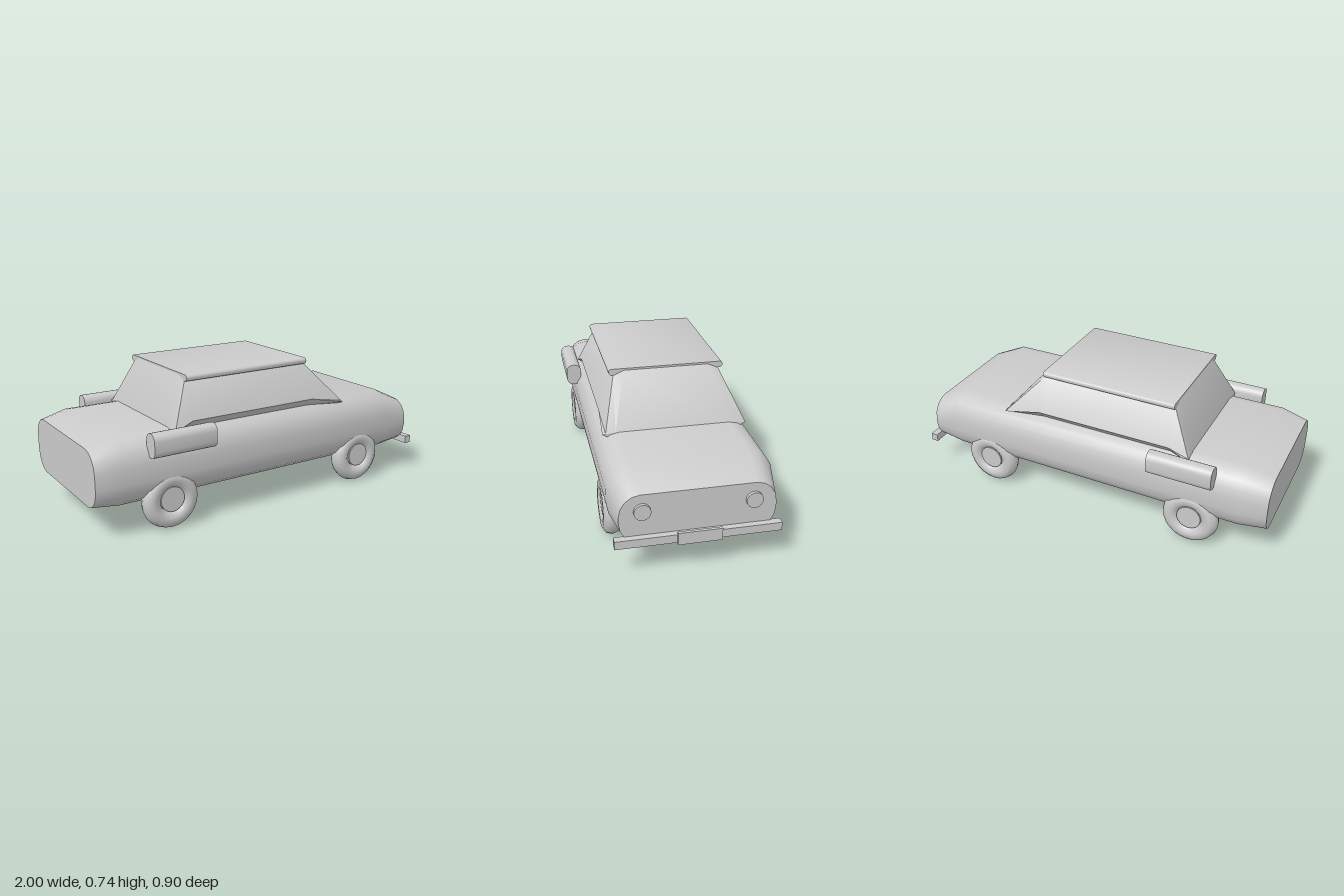
import * as THREE from 'three';
import { toCreasedNormals } from 'three/addons/utils/BufferGeometryUtils.js';

const material = new THREE.MeshStandardMaterial({ color: 0xcccccc });

// Rounded rectangle as [z, y] points, running top -> +z -> bottom -> -z
function roundedRing(w, y0, y1, rz, ry, steps = 4) {
  const points = [];
  const corners = [[1, y1 - ry, 0], [1, y0 + ry, 1], [-1, y0 + ry, 2], [-1, y1 - ry, 3]];
  for (const [side, cy, quarter] of corners) {
    for (let i = 0; i <= steps; i++) {
      const a = (quarter + i / steps) * Math.PI / 2;
      points.push([side * (w - rz) + Math.sin(a) * rz, cy + Math.cos(a) * ry]);
    }
  }
  return points;
}

// Mirrors the +z half of a cross-section, listed from top to bottom
function mirrorRing(half) {
  return [...half, ...half.map(([z, y]) => [-z, y]).reverse()];
}

// Skins [x, ring] cross-sections along x and closes both ends
function loft(sections, crease = 0.7) {
  const n = sections[0][1].length;
  const positions = [], index = [];
  for (const [x, ring] of sections) for (const [z, y] of ring) positions.push(x, y, z);
  for (let s = 0; s < sections.length - 1; s++) {
    for (let j = 0; j < n; j++) {
      const a = s * n + j, b = s * n + (j + 1) % n;
      index.push(a, b, a + n, b, b + n, a + n);
    }
  }
  for (const end of [0, sections.length - 1]) {
    const [x, ring] = sections[end];
    const base = positions.length / 3;
    const cy = ring.reduce((sum, p) => sum + p[1], 0) / n;
    for (const [z, y] of ring) positions.push(x, y, z);
    positions.push(x, cy, 0);
    for (let j = 0; j < n; j++) {
      const a = base + j, b = base + (j + 1) % n;
      if (end) index.push(base + n, a, b);
      else index.push(base + n, b, a);
    }
  }
  const geometry = new THREE.BufferGeometry();
  geometry.setAttribute('position', new THREE.Float32BufferAttribute(positions, 3));
  geometry.setIndex(index);
  return toCreasedNormals(geometry, crease);
}

export function createModel() {
  const car = new THREE.Group();
  car.name = 'car';
  const add = (name, geometry, x = 0, y = 0, z = 0, parent = car) => {
    const mesh = new THREE.Mesh(geometry, material);
    mesh.name = name;
    mesh.position.set(x, y, z);
    parent.add(mesh);
    return mesh;
  };

  // Lower body, tapered at nose and tail
  add('body', loft([
    [-1, roundedRing(0.375, 0.165, 0.455, 0.10, 0.11)],
    [-0.86, roundedRing(0.40, 0.15, 0.49, 0.12, 0.13)],
    [0.79, roundedRing(0.40, 0.15, 0.485, 0.12, 0.13)],
    [0.955, roundedRing(0.37, 0.16, 0.41, 0.10, 0.11)],
  ]));

  // Cabin, sloping down to the hood and trunk
  const tall = mirrorRing([[0.22, 0.725], [0.275, 0.70], [0.355, 0.52], [0.32, 0.48]]);
  const low = mirrorRing([[0.30, 0.486], [0.35, 0.482], [0.366, 0.478], [0.34, 0.465]]);
  add('cabin', loft([[-0.575, low], [-0.47, tall], [0.265, tall], [0.475, low]], 0.85));

  // Roof slab with rounded long edges
  const roofRing = roundedRing(0.298, 0.702, 0.735, 0.016, 0.016);
  add('roof', loft([[-0.47, roofRing], [0.265, roofRing]]));

  // Rounded pods on the rear flanks
  const podRing = roundedRing(0.041, -0.06, 0.06, 0.035, 0.035);
  for (const side of [1, -1]) {
    add(side > 0 ? 'leftPod' : 'rightPod', loft([[-0.73, podRing], [-0.39, podRing]]), 0, 0.455, side * 0.41);
  }

  // Wheels: ring tyre with a flat hub
  const tyre = new THREE.TorusGeometry(0.104, 0.047, 10, 24);
  const hub = toCreasedNormals(new THREE.CylinderGeometry(0.064, 0.064, 0.07, 24).rotateX(Math.PI / 2), 0.7);
  for (const [end, x] of [['front', 0.58], ['rear', -0.61]]) {
    for (const side of [1, -1]) {
      const wheel = new THREE.Group();
      wheel.name = `${end}${side > 0 ? 'Left' : 'Right'}Wheel`;
      wheel.position.set(x, 0.151, side * 0.357);
      add('tyre', tyre, 0, 0, 0, wheel);
      add('hub', hub, 0, 0.005, 0, wheel);
      car.add(wheel);
    }
  }

  // Headlights
  const lamp = toCreasedNormals(new THREE.CylinderGeometry(0.04, 0.04, 0.03, 24).rotateZ(Math.PI / 2), 0.7);
  for (const side of [1, -1]) add('headlight', lamp, 0.955, 0.325, side * 0.262);

  // Front bumper with its centre plate
  add('bumper', new THREE.BoxGeometry(0.038, 0.042, 0.79), 0.968, 0.179, 0);
  add('plate', new THREE.BoxGeometry(0.015, 0.062, 0.21), 0.9925, 0.184, 0);

  return car;
}
